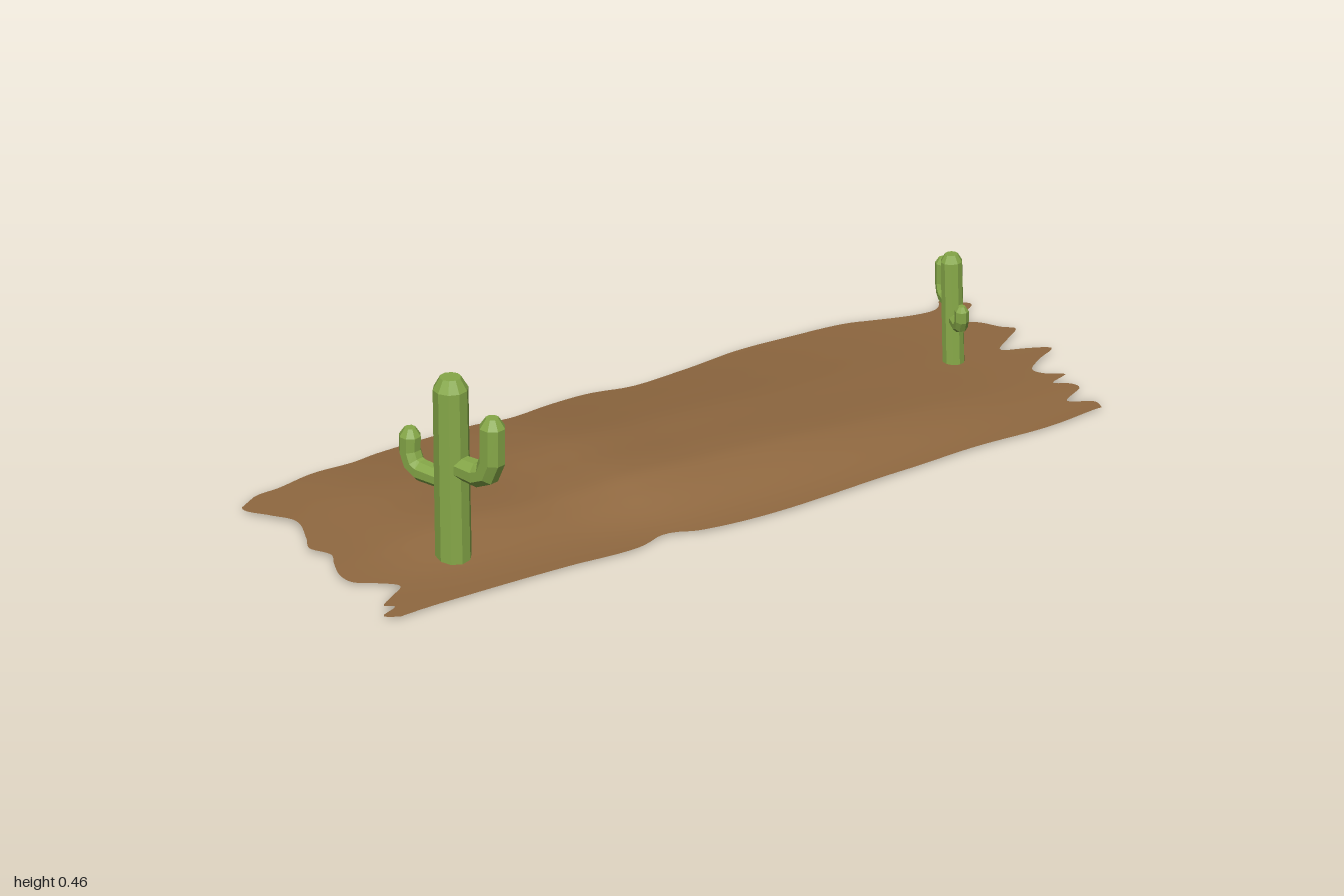
import * as THREE from 'three';

const green = new THREE.MeshStandardMaterial({ color: 0x86a848, flatShading: true });
const sand = new THREE.MeshStandardMaterial({ color: 0x8f6840, side: THREE.DoubleSide });

// Smooth function through a few [position, value] pairs
function profile(...pairs) {
  const curve = new THREE.CubicInterpolant(pairs.map(p => p[0]), pairs.map(p => p[1]), 1, [0]);
  return t => curve.evaluate(t)[0];
}

// Ragged outline of the ground
const backEdge = profile([-.96, -.32], [-.93, -.345], [-.85, -.35], [-.76, -.36], [-.65, -.35], [-.58, -.36], [-.3, -.36],
  [-.23, -.34], [-.1, -.355], [0, -.355], [.1, -.325], [.25, -.335], [.4, -.355], [.55, -.35], [.7, -.335], [.86, -.28], [.9, -.29], [.94, -.32]);
const frontEdge = profile([-.97, .335], [-.88, .33], [-.75, .33], [-.5, .335], [-.32, .345], [-.22, .325], [-.16, .35],
  [.4, .355], [.6, .345], [.8, .35], [.93, .335]);
const westEdge = profile([-.34, -.94], [-.31, -.96], [-.25, -.93], [-.19, -.9], [-.1, -.93], [-.06, -.95], [0, -.93], [.04, -.95],
  [.1, -.97], [.14, -.96], [.17, -.92], [.21, -.885], [.24, -.93], [.27, -.97], [.285, -.95], [.31, -1], [.335, -.97]);
const eastEdge = profile([-.32, .94], [-.29, .96], [-.26, .98], [-.23, .94], [-.2, .91], [-.17, .94], [-.12, .97], [-.1, .99],
  [-.06, .94], [-.02, .9], [0, .95], [.03, 1], [.06, .95], [.1, .9], [.14, .92], [.16, .95], [.18, .9], [.2, .93],
  [.23, .94], [.27, .88], [.3, .93], [.335, .93]);

// Dune shape: crest height along x, cross-section along z, sideways drift of the crest
const crest = profile([-1, .003], [-.85, .014], [-.7, .035], [-.6, .039], [-.4, .037], [-.3, .048], [-.2, .061], [0, .06],
  [.2, .054], [.4, .04], [.6, .025], [.8, .011], [1, .006]);
const section = profile([-.36, .13], [-.3, .3], [-.2, .58], [-.1, .82], [0, .92], [.1, 1], [.15, .97], [.2, .76], [.3, .2], [.36, .05], [.46, .04]);
const drift = profile([-1, -.1], [-.7, -.09], [-.4, -.06], [-.2, -.02], [0, 0], [1, .01]);

function ground() {
  const g = new THREE.PlaneGeometry(2, 2, 110, 90).rotateX(-Math.PI / 2);
  const p = g.attributes.position;
  for (let i = 0; i < p.count; i++) {
    const u = (p.getX(i) + 1) / 2, v = (p.getZ(i) + 1) / 2;
    const x0 = THREE.MathUtils.lerp(-.96, .95, u);
    const z = THREE.MathUtils.lerp(backEdge(x0), frontEdge(x0), v);
    const x = THREE.MathUtils.lerp(westEdge(z), eastEdge(z), u);
    p.setXYZ(i, x, .002 + Math.max(0, crest(x) * section(z - drift(x))), z);
  }
  g.computeVertexNormals();
  const mesh = new THREE.Mesh(g, sand);
  mesh.name = 'duneGround';
  return mesh;
}

// Rings along a path in the XY plane, closed at both ends; path entries are [x, y, radius]
function stem(name, path, sides) {
  const pos = [], index = [], last = path.length - 1;
  path.forEach(([x, y, r], i) => {
    const a = path[Math.max(i - 1, 0)], b = path[Math.min(i + 1, last)];
    const len = Math.hypot(b[0] - a[0], b[1] - a[1]);
    const nx = (b[1] - a[1]) / len, ny = -(b[0] - a[0]) / len;
    for (let k = 0; k < sides; k++) {
      const t = (k + .5) / sides * Math.PI * 2, c = Math.cos(t) * r;
      pos.push(x + nx * c, y + ny * c, Math.sin(t) * r);
      if (i < last) {
        const p = i * sides + k, q = i * sides + (k + 1) % sides;
        index.push(p, p + sides, q, q, p + sides, q + sides);
      }
    }
  });
  for (let k = 1; k < sides - 1; k++) {
    index.push(0, k, k + 1);
    const t = last * sides;
    index.push(t, t + k + 1, t + k);
  }
  const g = new THREE.BufferGeometry();
  g.setAttribute('position', new THREE.Float32BufferAttribute(pos, 3));
  g.setIndex(index);
  g.computeVertexNormals();
  const mesh = new THREE.Mesh(g, green);
  mesh.name = name;
  return mesh;
}

// Arm: out from the trunk, round the elbow, up to a bevelled tip
function arm(name, side, start, reach, y, top, r) {
  const e = r * 1.35;
  const path = [[start, y, r * .9], [reach - e, y, r], [reach - e * .35, y + e * .3, r], [reach, y + e * 1.1, r],
    [reach, top - r * .75, r], [reach, top, r * .5]];
  return stem(name, path.map(([x, h, q]) => [x * side, h, q]), 8);
}

// Cactus with arms along its local x axis
function cactus(name, { x, z, turn, lean, height, r, arms }) {
  const group = new THREE.Group();
  group.name = name;
  group.add(stem('trunk', [[0, 0, r * 1.02], [lean * .93, height - r * .7, r], [lean, height, r * .6]], 10));
  arms.forEach(a => group.add(arm(...a)));
  group.position.set(x, 0, z);
  group.rotation.y = turn;
  return group;
}

export function createModel() {
  const model = new THREE.Group();
  model.name = 'desertDune';
  model.add(
    ground(),
    cactus('largeCactus', {
      x: -.71, z: .163, turn: -1.34, lean: -.01, height: .457, r: .041,
      arms: [['frontArm', 1, .015, .118, .243, .397, .031], ['backArm', -1, .03, .133, .195, .29, .026]],
    }),
    cactus('smallCactus', {
      x: .775, z: -.03, turn: -1.88, lean: -.018, height: .272, r: .025,
      arms: [['frontArm', 1, 0, .065, .121, .18, .016], ['backArm', -1, .02, .088, .143, .23, .017]],
    }),
  );
  return model;
}
